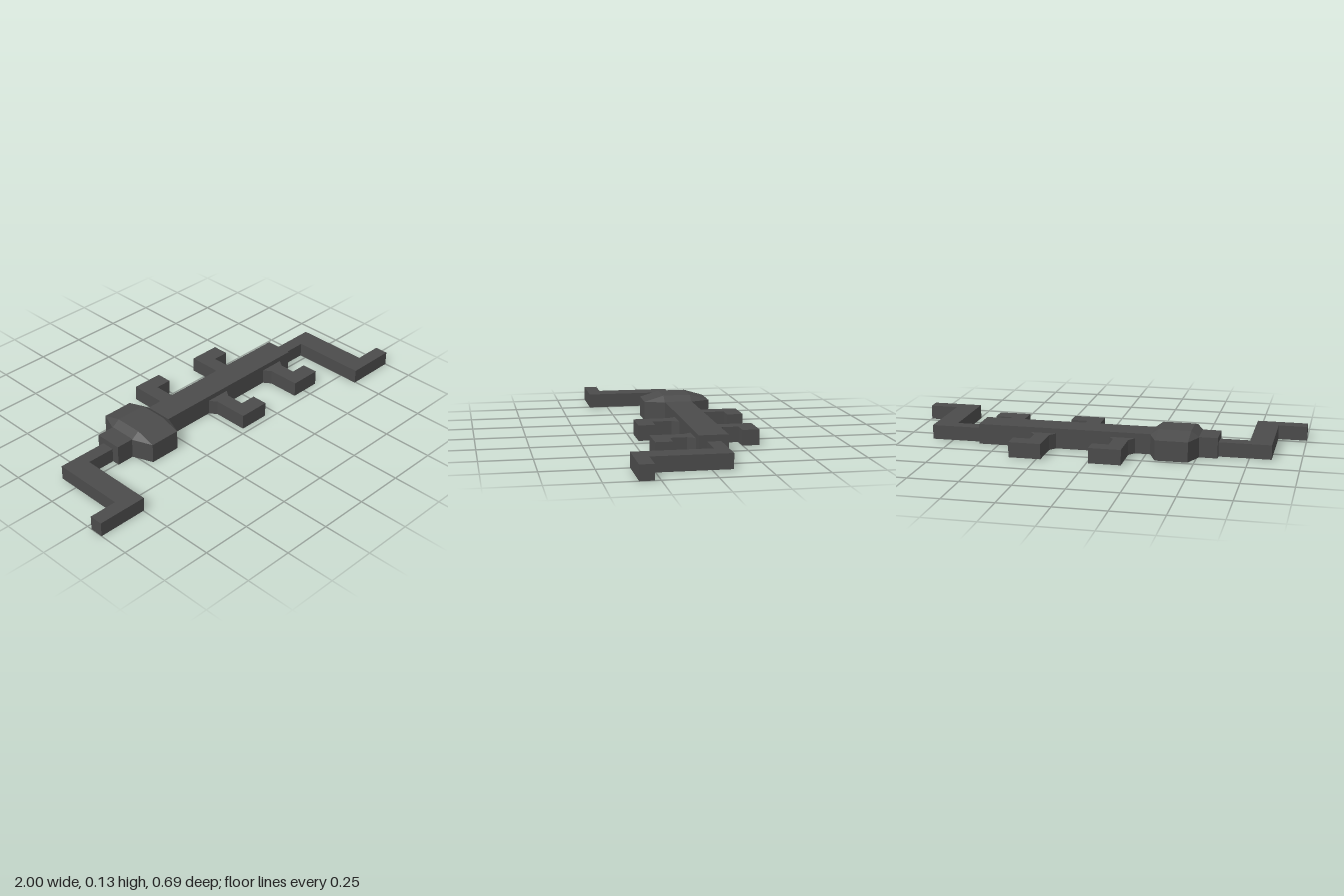
import * as THREE from 'three';

const charcoal = new THREE.MeshStandardMaterial({ color: 0x4b4b4b });
charcoal.name = 'charcoal';

// Plan outline of [x, z] points, extruded upwards from the ground
function slab(name, points, height) {
  const shape = new THREE.Shape(points.map(([x, z]) => new THREE.Vector2(x, -z)));
  const geometry = new THREE.ExtrudeGeometry(shape, { depth: height, bevelEnabled: false });
  geometry.rotateX(-Math.PI / 2);
  const mesh = new THREE.Mesh(geometry, charcoal);
  mesh.name = name;
  return mesh;
}

// Sloped cap between an octagon at y0 and a rectangle at y1
function bossCap(cx, cz, y0, y1) {
  const halfX = 0.08, halfZ = 0.07;
  const positions = [];
  const tri = (...pts) => pts.forEach(([x, y, z]) => positions.push(cx + x, y, cz + z));
  const outer = [], inner = [];
  for (const [sx, sz] of [[1, 1], [1, -1], [-1, -1], [-1, 1]]) {
    const side = [sx * 0.12, y0, sz * halfZ];
    const end = [sx * halfX, y0, sz * 0.17];
    outer.push(sx === sz ? [end, side] : [side, end]);
    inner.push([sx * halfX, y1, sz * halfZ]);
  }
  for (let i = 0; i < 4; i++) {
    const j = (i + 1) % 4;
    tri(outer[i][0], outer[i][1], inner[i]);
    tri(outer[i][1], outer[j][0], inner[j]);
    tri(outer[i][1], inner[j], inner[i]);
  }
  tri(inner[0], inner[1], inner[2]);
  tri(inner[0], inner[2], inner[3]);
  const geometry = new THREE.BufferGeometry();
  geometry.setAttribute('position', new THREE.Float32BufferAttribute(positions, 3));
  geometry.computeVertexNormals();
  const mesh = new THREE.Mesh(geometry, charcoal);
  mesh.name = 'bossCap';
  return mesh;
}

export function createModel() {
  const group = new THREE.Group();
  group.name = 'crankedBar';

  // Central bar
  group.add(slab('bar', [[-0.6, 0.007], [0.6, 0.007], [0.6, -0.133], [-0.6, -0.133]], 0.102));

  // Faceted boss near one end
  const cx = -0.39, cz = -0.062;
  const outline = [[0.12, 0.07], [0.08, 0.17], [-0.08, 0.17], [-0.12, 0.07],
    [-0.12, -0.07], [-0.08, -0.17], [0.08, -0.17], [0.12, -0.07]];
  group.add(slab('boss', outline.map(([x, z]) => [cx + x, cz + z]), 0.1));
  group.add(bossCap(cx, cz, 0.1, 0.13));

  // Z-shaped arms at both ends
  for (const [name, s] of [['leftArm', 1], ['rightArm', -1]]) {
    const arm = [[0.59, -0.098], [0.857, -0.098], [0.857, 0.277], [1, 0.277],
      [1, 0.345], [0.745, 0.345], [0.745, -0.032], [0.59, -0.032]];
    group.add(slab(name, arm.map(([x, z]) => [s * x, z]), 0.072));
  }

  // Hooks: stem start x, direction, z of tip, z of the inner edge of the tip
  const hooks = [
    ['backHook', -0.168, -1, -0.345, -0.265],
    ['backHook', 0.23, -1, -0.331, -0.248],
    ['frontHook', 0.032, 1, 0.22, 0.138],
    ['frontHook', 0.43, 1, 0.206, 0.123],
  ];
  for (const [name, x, dir, tip, inner] of hooks) {
    const root = dir > 0 ? 0.007 : -0.133;
    const neck = root + dir * 0.036;
    const bed = root - dir * 0.01;
    group.add(slab(name, [[x - 0.026, bed], [x - 0.026, root], [x, neck], [x, tip],
      [x + 0.16, tip], [x + 0.16, inner], [x + 0.076, inner], [x + 0.076, neck],
      [x + 0.102, root], [x + 0.102, bed]], 0.076));
  }
  return group;
}
